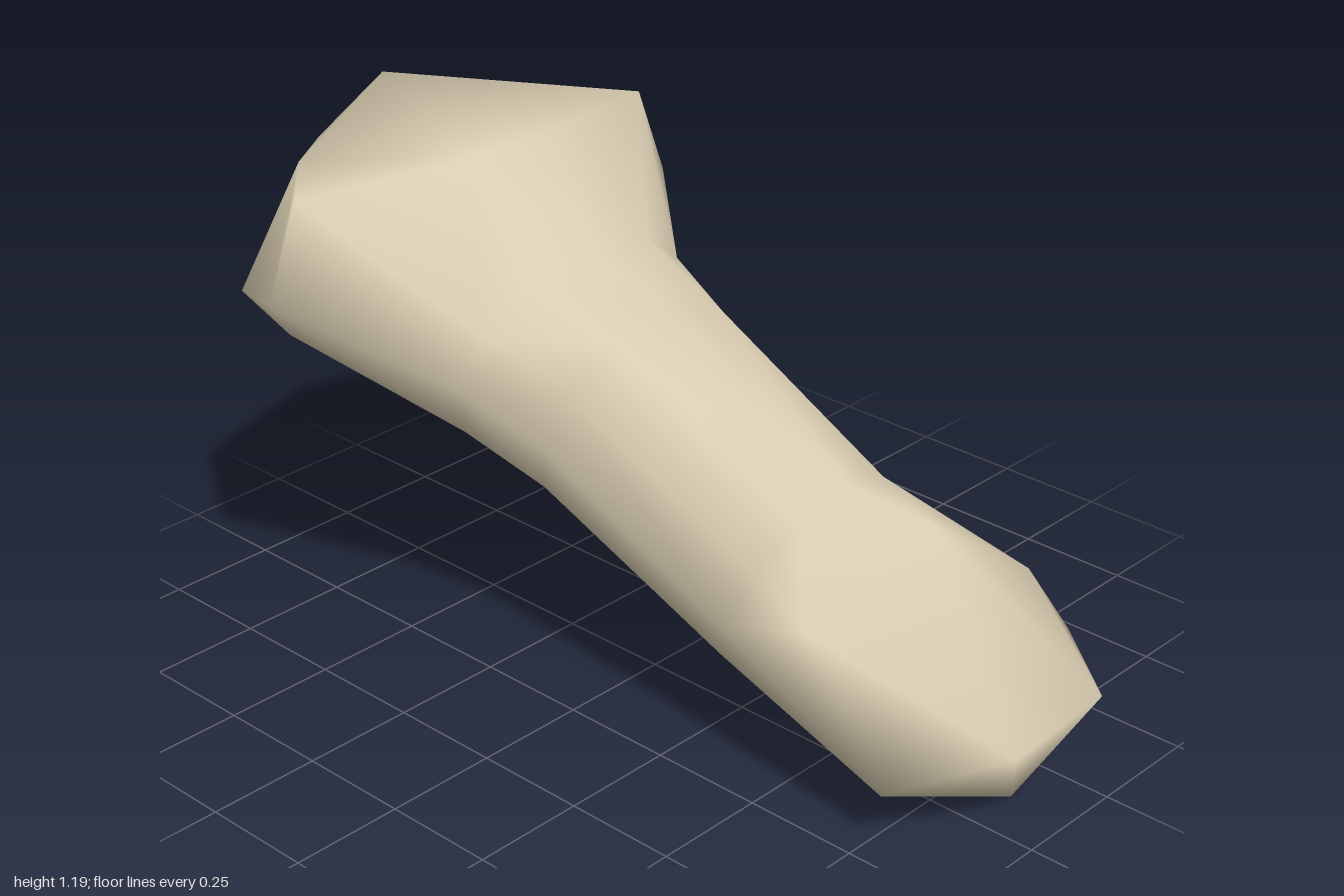
import * as THREE from 'three';
import { ConvexGeometry } from 'three/addons/geometries/ConvexGeometry.js';
import { mergeVertices } from 'three/addons/utils/BufferGeometryUtils.js';

const toPoints = (list) => list.map((p) => new THREE.Vector3(...p));

// Tilted flat section of the shaft: rounded outline through its four extremes
function section({ top, bottom, left, right, leftHeight, rightHeight, middle, round }) {
  const points = [], sides = 12;
  for (let j = 0; j < sides; j++) {
    const a = (j / sides) * Math.PI * 2;
    const c = Math.cos(a), s = Math.sin(a);
    const fm = c >= 0 ? rightHeight : leftHeight;
    const f = fm + ((s >= 0 ? 1 : 0) - fm) * Math.pow(Math.abs(s), round);
    const x = middle + ((c >= 0 ? right : left) - middle) * Math.pow(Math.abs(c), round);
    points.push(new THREE.Vector3(x, bottom[1] + (top[1] - bottom[1]) * f, bottom[0] + (top[0] - bottom[0]) * f));
  }
  return points;
}

// Shaft sections, front to back; top and bottom are [z, y]
const rings = [
  { top: [0.48, 0.59], bottom: [0.32, 0.17], left: -0.22, right: 0.28, leftHeight: 0.42, rightHeight: 0.42, middle: 0.05, round: 0.95 },
  { top: [0.00, 0.82], bottom: [-0.15, 0.375], left: -0.24, right: 0.315, leftHeight: 0.45, rightHeight: 0.42, middle: 0.04, round: 0.9 },
  { top: [-0.20, 0.90], bottom: [-0.32, 0.445], left: -0.305, right: 0.355, leftHeight: 0.5, rightHeight: 0.47, middle: 0.03, round: 0.95 },
].map(section);

// Corners of the front knuckle
const knuckle = toPoints([
  [-0.07, 0.24, 1.0], [0.28, 0.2, 0.95], [0.12, 0, 0.86], [0.3, 0.05, 0.84],
  [0.34, 0.16, 0.79], [0.38, 0.25, 0.79], [0.36, 0.36, 0.7], [0.35, 0.3, 0.64],
  [-0.21, 0.13, 0.79], [-0.23, 0.32, 0.7], [-0.225, 0.42, 0.6], [0.09, 0.55, 0.66],
  [0.05, 0.11, 0.48],
]);

// Corners of the wide rear head
const head = toPoints([
  [-0.08, 1.19, -0.71], [-0.27, 1.1, -0.7], [-0.36, 1.08, -0.66], [-0.41, 1.02, -0.62],
  [-0.53, 0.84, -0.57], [-0.33, 0.65, -0.76], [-0.28, 0.67, -0.98], [-0.24, 0.75, -0.93],
  [-0.1, 0.615, -0.95], [0.08, 0.615, -0.97], [0.2, 0.68, -1.0], [0.24, 0.74, -0.95],
  [0, 0.8, -0.91], [0.52, 0.93, -0.75], [0.53, 0.72, -0.63], [0.53, 0.85, -0.63],
  [0.5, 1.04, -0.52], [0.46, 0.9, -0.41], [0.41, 0.74, -0.35],
  [-0.12, 1.09, -0.4], [0.1, 1.09, -0.4],
]);

const key = (x, y, z) => [x, y, z].map((n) => Math.round(n * 1000)).join();

// Outer skin of each stretch between neighbouring groups, without the walls on the shared sections
function skinGeometry() {
  const shared = rings.map((ring) => new Set(ring.map((p) => key(p.x, p.y, p.z))));
  const chain = [knuckle, ...rings, head];
  const positions = [];
  for (let i = 0; i + 1 < chain.length; i++) {
    const hull = new ConvexGeometry([...chain[i], ...chain[i + 1]]).attributes.position;
    for (let v = 0; v < hull.count; v += 3) {
      const corners = [0, 1, 2].map((n) => [hull.getX(v + n), hull.getY(v + n), hull.getZ(v + n)]);
      const isWall = shared.some((set) => corners.every((p) => set.has(key(...p))));
      if (!isWall) positions.push(...corners.flat());
    }
  }
  const loose = new THREE.BufferGeometry();
  loose.setAttribute('position', new THREE.Float32BufferAttribute(positions, 3));
  const geometry = mergeVertices(loose, 1e-4);
  geometry.computeVertexNormals();
  return geometry;
}

export function createModel() {
  const group = new THREE.Group();
  group.name = 'bone';
  const ivory = new THREE.MeshStandardMaterial({ color: 0xd8ccb0 });
  ivory.name = 'ivory';
  // Single continuous shaft with knuckle and head
  const body = new THREE.Mesh(skinGeometry(), ivory);
  body.name = 'boneBody';
  group.add(body);
  return group;
}
